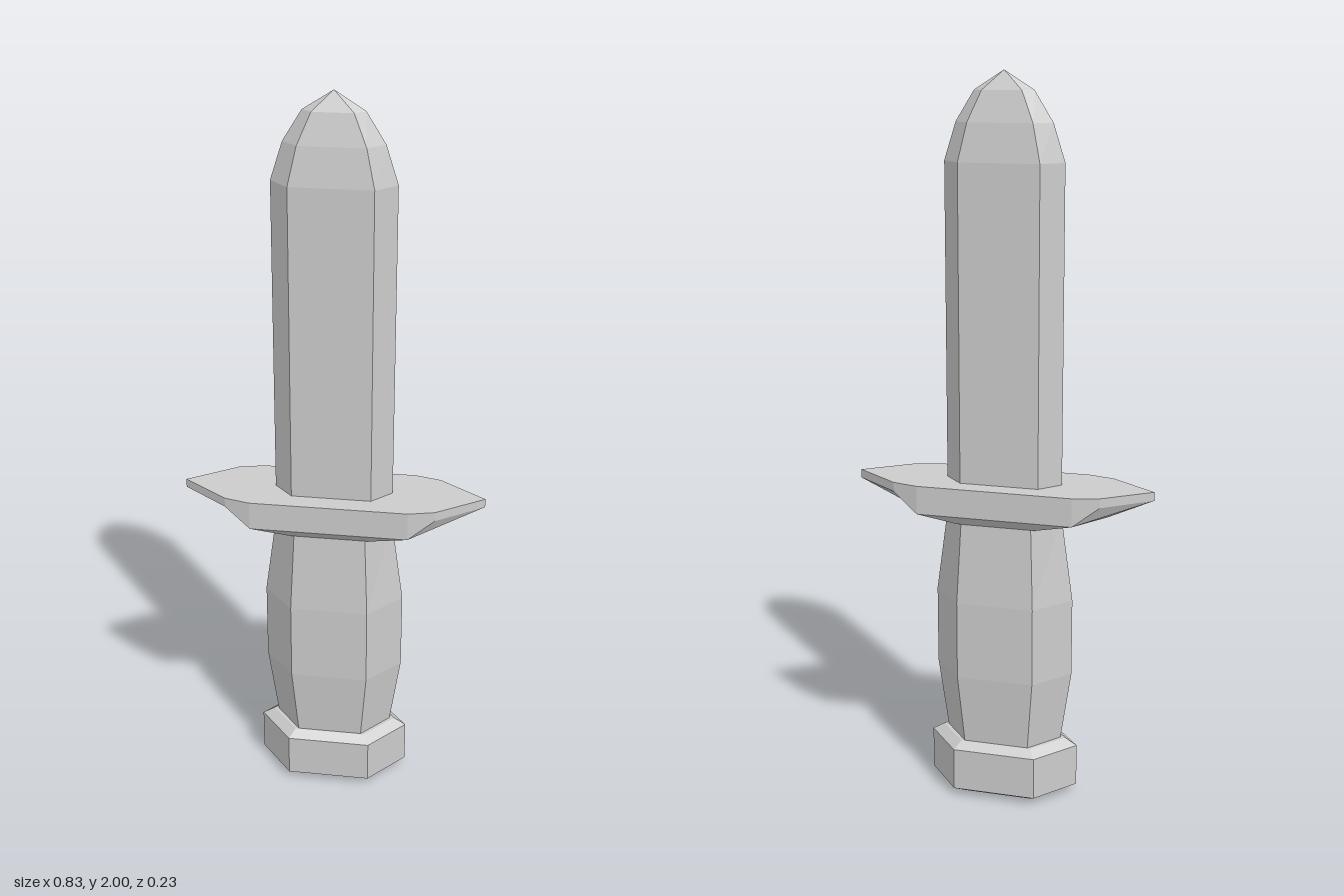
import * as THREE from 'three';

const material = new THREE.MeshStandardMaterial({ color: 0xcccccc, flatShading: true });

// Full ring from one quarter outline; the first point lies on the z = 0 plane.
function ring(quarter) {
  const back = quarter.map(([x, y, z]) => [x, y, -z]);
  const half = [...back, ...back.map(([x, y, z]) => [-x, y, z]).reverse()];
  const front = half.slice(1, -1).map(([x, y, z]) => [x, y, -z]).reverse();
  return [...half, ...front];
}

// Six-sided ring: half width w, half width of the flat face f, half depth d.
const hex = ([y, w, f, d]) => ring([[w, y, 0], [f, y, d]]);

// Joins rings from bottom to top and closes both ends.
function loft(name, rings) {
  const positions = [];
  const tri = (a, b, c) => {
    const [A, B, C] = [a, b, c].map((p) => new THREE.Vector3(...p));
    if (B.sub(A).cross(C.sub(A)).length() > 1e-7) positions.push(...a, ...b, ...c);
  };
  const n = rings[0].length;
  for (let r = 0; r < rings.length - 1; r++) {
    const lo = rings[r], hi = rings[r + 1];
    for (let i = 0; i < n; i++) {
      const j = (i + 1) % n;
      tri(lo[i], lo[j], hi[j]);
      tri(lo[i], hi[j], hi[i]);
    }
  }
  const bottom = rings[0], top = rings[rings.length - 1];
  for (let i = 1; i < n - 1; i++) {
    tri(bottom[0], bottom[i + 1], bottom[i]);
    tri(top[0], top[i], top[i + 1]);
  }
  const geometry = new THREE.BufferGeometry();
  geometry.setAttribute('position', new THREE.Float32BufferAttribute(positions, 3));
  geometry.computeVertexNormals();
  const mesh = new THREE.Mesh(geometry, material);
  mesh.name = name;
  return mesh;
}

export function createModel() {
  const group = new THREE.Group();
  group.name = 'dagger';

  // Pommel with bevelled top and bottom edges
  group.add(loft('pommel', [
    [0, 0.155, 0.09, 0.08],
    [0.022, 0.213, 0.116, 0.116],
    [0.142, 0.213, 0.116, 0.116],
    [0.162, 0.18, 0.1, 0.093],
  ].map(hex)));

  // Grip, swelling in the middle
  group.add(loft('grip', [
    [0.15, 0.164, 0.09, 0.089],
    [0.36, 0.195, 0.107, 0.104],
    [0.58, 0.195, 0.107, 0.104],
    [0.82, 0.162, 0.097, 0.088],
  ].map(hex)));

  // Crossguard: flat top, upright rim, underside rising to pointed ends
  group.add(loft('crossguard', [
    [[0.165, 0.805, 0], [0.11, 0.805, 0.09], [0.11, 0.805, 0.09]],
    [[0.29, 0.83, 0], [0.215, 0.832, 0.115], [0.215, 0.832, 0.115]],
    [[0.415, 0.887, 0], [0.286, 0.885, 0.096], [0.215, 0.832, 0.115]],
    [[0.415, 0.911, 0], [0.286, 0.911, 0.096], [0.215, 0.911, 0.115]],
  ].map(ring)));

  // Blade with a rounded taper to the tip
  group.add(loft('blade', [
    [0.9, 0.162, 0.109, 0.057],
    [1.77, 0.162, 0.109, 0.057],
    [1.87, 0.13, 0.087, 0.044],
    [1.95, 0.08, 0.053, 0.025],
    [2, 0, 0, 0],
  ].map(hex)));

  return group;
}
